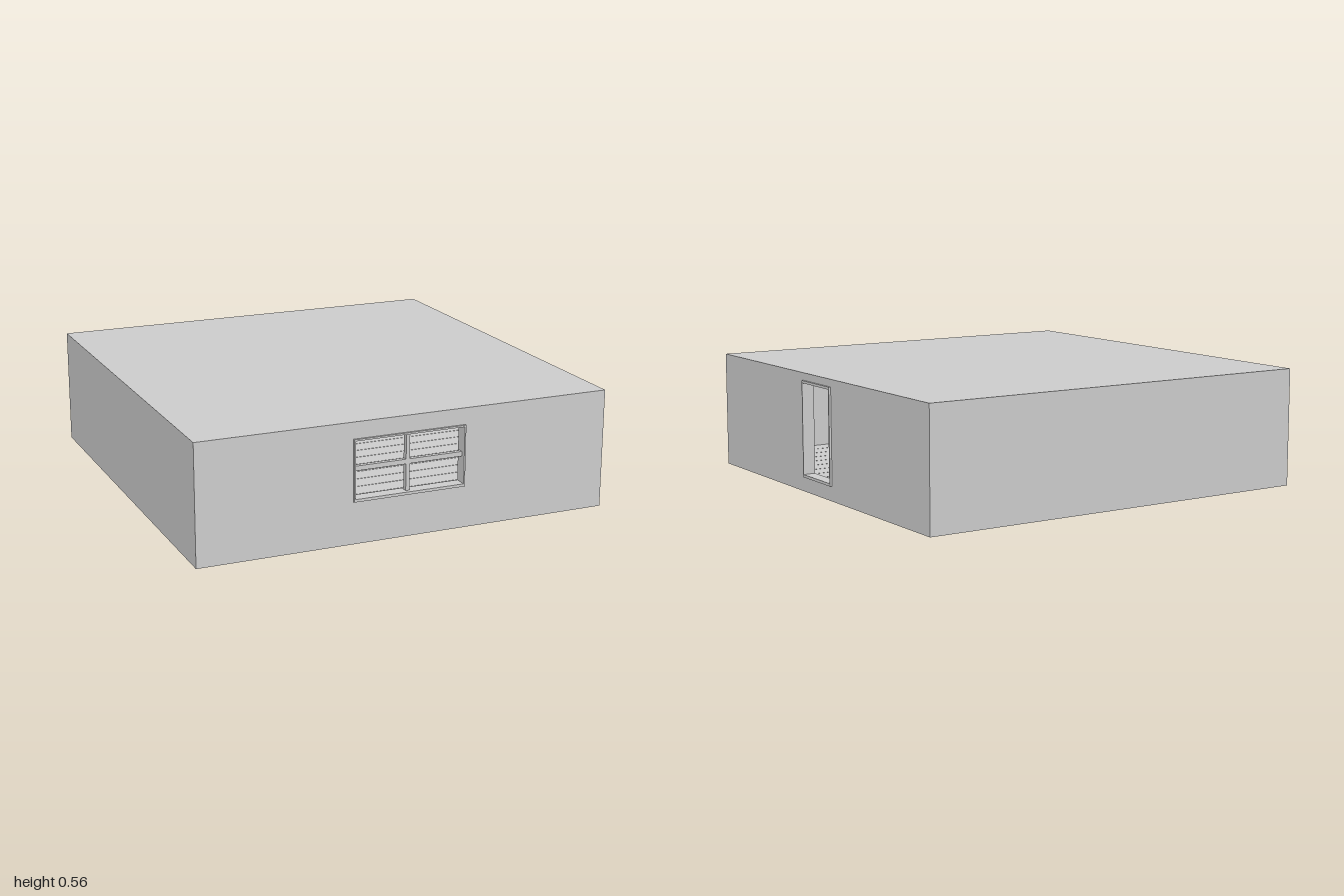
import * as THREE from 'three';

const material = new THREE.MeshStandardMaterial({ color: 0xcccccc, flatShading: true });

// Outer limits of the room, wall thickness, floor and ceiling levels
const LO = -0.995, HI = 0.985, WALL = 0.05, FLOOR = 0.055, CEILING = 0.53, TOP = 0.56;

function add(parent, name, geometry) {
  const mesh = new THREE.Mesh(geometry, material);
  mesh.name = name;
  parent.add(mesh);
  return mesh;
}

// Box given by its minimum and maximum corners
function box(parent, name, [x0, y0, z0], [x1, y1, z1]) {
  const mesh = add(parent, name, new THREE.BoxGeometry(x1 - x0, y1 - y0, z1 - z0));
  mesh.position.set((x0 + x1) / 2, (y0 + y1) / 2, (z0 + z1) / 2);
  return mesh;
}

function trace(path, [x0, y0, x1, y1]) {
  path.moveTo(x0, y0);
  path.lineTo(x1, y0);
  path.lineTo(x1, y1);
  path.lineTo(x0, y1);
  path.closePath();
  return path;
}

// Rectangular panel with a rectangular opening, extruded along +z
function openPanel(outer, inner, depth) {
  const shape = trace(new THREE.Shape(), outer);
  shape.holes.push(trace(new THREE.Path(), inner));
  return new THREE.ExtrudeGeometry(shape, { depth, bevelEnabled: false });
}

export function createModel() {
  const room = new THREE.Group();
  room.name = 'room';
  const inLo = LO + WALL, inHi = HI - WALL;

  // Floor slab and roof
  box(room, 'floorSlab', [LO, 0, LO], [HI, FLOOR - 0.004, HI]);
  box(room, 'roof', [LO, CEILING, LO], [HI, TOP, HI]);

  // Floorboards running from side to side
  const boards = new THREE.Group();
  boards.name = 'floorboards';
  room.add(boards);
  const count = 19, pitch = (inHi - inLo) / count;
  for (let i = 0; i < count; i++) {
    const z = inLo + i * pitch;
    box(boards, 'floorboard', [inLo, FLOOR - 0.004, z + 0.002], [inHi, FLOOR, z + pitch - 0.002]);
  }

  // Plain back and right-hand walls
  const y0 = FLOOR - 0.004;
  box(room, 'backWall', [LO, y0, LO], [HI, CEILING, inLo]);
  box(room, 'rightWall', [LO, y0, inLo], [inLo, CEILING, HI]);

  // Front wall with window opening
  const windowOuter = [-0.27, 0.197, 0.27, 0.483];
  const windowInner = [-0.263, 0.21, 0.263, 0.475];
  add(room, 'frontWall', openPanel([inLo, y0, HI, CEILING], windowOuter, WALL)).position.z = inHi;

  // Window frame and crossed glazing bars
  const win = new THREE.Group();
  win.name = 'window';
  room.add(win);
  add(win, 'windowFrame', openPanel(windowOuter, windowInner, WALL + 0.01)).position.z = inHi;
  box(win, 'verticalBar', [-0.013, 0.21, 0.95], [0.005, 0.475, 0.975]);
  box(win, 'horizontalBar', [-0.263, 0.333, 0.952], [0.263, 0.355, 0.973]);

  // Left wall with doorway; panel coordinates run along -z
  const doorOuter = [-0.129, 0.07, 0.138, 0.525];
  const doorInner = [-0.125, 0.083, 0.13, 0.513];
  const side = new THREE.Group();
  side.name = 'doorSide';
  side.rotation.y = Math.PI / 2;
  side.position.x = inHi;
  room.add(side);
  add(side, 'leftWall', openPanel([-inHi, y0, -inLo, CEILING], doorOuter, WALL));
  add(side, 'doorFrame', openPanel(doorOuter, doorInner, WALL + 0.01));

  return room;
}
